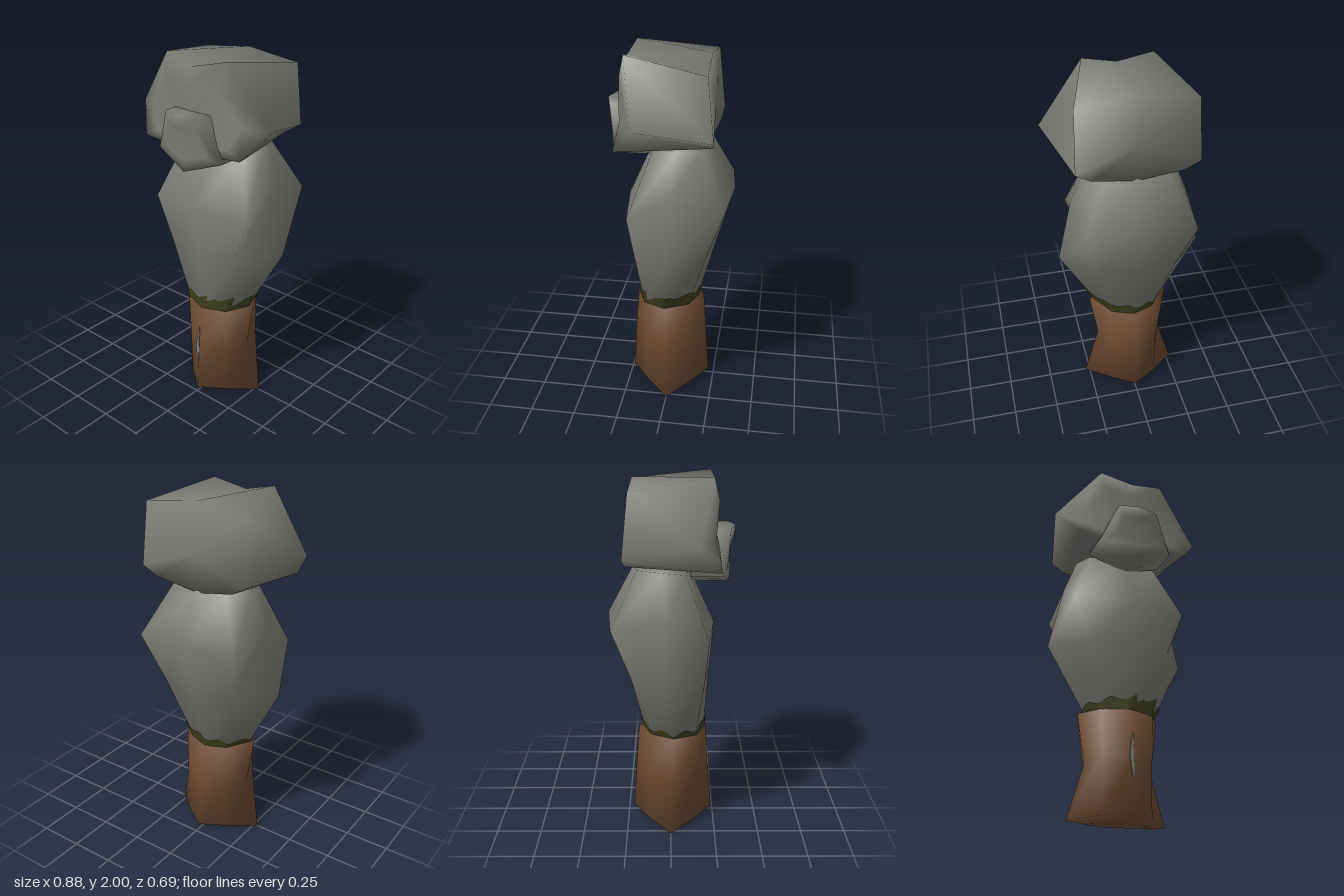
import * as THREE from 'three';

const stone = new THREE.MeshStandardMaterial({ color: 0x7a7a75 });
const wood = new THREE.MeshStandardMaterial({ color: 0x6b4a31 });
const moss = new THREE.MeshStandardMaterial({ color: 0x41421f, side: THREE.DoubleSide });
stone.name = 'stone';
wood.name = 'wood';
moss.name = 'moss';

// Complete a half ring (centre line, +x side, centre line) by mirroring it
const mirror = (half) => [
  ...half,
  ...half.slice(1, -1).reverse().map(([x, y, z]) => [-x, y, z]),
];

function smoothGeometry(pos, index) {
  const geo = new THREE.BufferGeometry();
  geo.setAttribute('position', new THREE.Float32BufferAttribute(pos, 3));
  geo.setIndex(index);
  geo.computeVertexNormals();
  return geo;
}

// Closed smooth skin through mirrored rings, with a fan at each end
function loft(halves) {
  const rings = halves.map(mirror);
  const n = rings[0].length;
  const pos = rings.flat(2);
  const index = [];
  for (let r = 0; r < rings.length - 1; r++) {
    for (let i = 0; i < n; i++) {
      const a = r * n + i, b = r * n + (i + 1) % n;
      index.push(a, b, b + n, a, b + n, a + n);
    }
  }
  [0, rings.length - 1].forEach((r) => {
    const c = pos.length / 3;
    for (let k = 0; k < 3; k++) pos.push(rings[r].reduce((s, p) => s + p[k], 0) / n);
    for (let i = 0; i < n; i++) {
      const a = r * n + i, b = r * n + (i + 1) % n;
      if (r === 0) index.push(c, b, a);
      else index.push(c, a, b);
    }
  });
  return smoothGeometry(pos, index);
}

// Half rings: front, front corner, side, back corner, back
const bodyRings = [
  [[0, 0.55, 0.19], [0.135, 0.55, 0.14], [0.19, 0.55, 0.02], [0.115, 0.55, -0.105], [0, 0.55, -0.15]],
  [[0, 0.94, 0.22], [0.225, 0.92, 0.185], [0.4, 0.94, -0.02], [0.215, 0.94, -0.22], [0, 0.94, -0.255]],
  [[0, 1.19, 0.24], [0.32, 1.17, 0.2], [0.32, 1.3, -0.02], [0.305, 1.23, -0.315], [0, 1.25, -0.345]],
  [[0, 1.5, 0.1], [0.2, 1.5, 0.08], [0.235, 1.52, -0.05], [0.17, 1.52, -0.18], [0, 1.52, -0.2]],
];

// Ragged band that hugs the foot of the body
function mossBand() {
  const low = mirror(bodyRings[0]), high = mirror(bodyRings[1]);
  const steps = 6, n = low.length * steps;
  const pos = [], index = [];
  const at = (i, y) => {
    const j = Math.floor(i / steps) % low.length, k = (j + 1) % low.length;
    const u = (i % steps) / steps, t = (y - 0.55) / 0.39;
    const mix = (d) => THREE.MathUtils.lerp(
      THREE.MathUtils.lerp(low[j][d], low[k][d], u),
      THREE.MathUtils.lerp(high[j][d], high[k][d], u), t);
    return [mix(0) * 1.03, y, mix(2) * 1.03];
  };
  for (let i = 0; i < n; i++) {
    const a = (i / n) * Math.PI * 2;
    const top = 0.622 + 0.028 * Math.cos(a - 1.4) + 0.014 * Math.sin(9 * a);
    const bottom = Math.sin(6 * a - 1) > 0.2 ? 0.53 : 0.555;
    pos.push(...at(i, bottom), ...at(i, top));
    const p = 2 * i, q = 2 * ((i + 1) % n);
    index.push(p, q, q + 1, p, q + 1, p + 1);
  }
  return smoothGeometry(pos, index);
}

export function createModel() {
  const group = new THREE.Group();
  const add = (name, geo, mat) => {
    const mesh = new THREE.Mesh(geo, mat);
    mesh.name = name;
    group.add(mesh);
  };

  // Wooden post, narrow at the waist and pointed at the foot
  add('post', loft([
    [[0, 0.02, 0.24], [0.14, 0.01, 0.13], [0.275, 0, 0], [0.14, 0.015, -0.12], [0, 0.03, -0.22]],
    [[0, 0.3, 0.222], [0.14, 0.3, 0.14], [0.187, 0.3, 0.01], [0.14, 0.3, -0.13], [0, 0.3, -0.203]],
    [[0, 0.555, 0.203], [0.147, 0.56, 0.142], [0.23, 0.565, 0.01], [0.145, 0.555, -0.125], [0, 0.55, -0.185]],
  ]), wood);

  // Narrow stone sliver along the front edge of the post
  const sliver = new THREE.Shape([
    [0, 0.18], [0, 0.43], [-0.012, 0.38], [-0.022, 0.3], [-0.012, 0.22],
  ].map(([x, y]) => new THREE.Vector2(x, y)));
  const sliverGeo = new THREE.ExtrudeGeometry(sliver, { depth: 0.008, bevelEnabled: false });
  const p = sliverGeo.attributes.position;
  for (let i = 0; i < p.count; i++) p.setZ(i, p.getZ(i) + 0.235 - p.getY(i) * 0.06);
  sliverGeo.computeVertexNormals();
  add('sliver', sliverGeo, stone);

  add('body', loft(bodyRings), stone);
  add('mossBand', mossBand(), moss);

  // Head: rings run from the front face to the back, with a notched crown
  add('head', loft([
    [[0, 1.86, 0.258], [0.17, 1.88, 0.25], [0.3, 1.69, 0.225], [0.24, 1.58, 0.258], [0, 1.54, 0.262]],
    [[0, 1.955, 0.24], [0.19, 2, 0.22], [0.44, 1.69, 0.145], [0.325, 1.54, 0.26], [0, 1.505, 0.25]],
    [[0, 1.98, -0.205], [0.31, 1.94, -0.215], [0.322, 1.605, -0.25], [0.24, 1.555, -0.24], [0, 1.5, -0.2]],
  ]), stone);

  // Blunt snout under the front of the head
  add('snout', loft([
    [[0, 1.66, 0.338], [0.09, 1.66, 0.316], [0.14, 1.53, 0.298], [0, 1.49, 0.323]],
    [[0, 1.73, 0.345], [0.115, 1.73, 0.315], [0.215, 1.5, 0.27], [0, 1.425, 0.318]],
    [[0, 1.73, 0.14], [0.115, 1.73, 0.14], [0.215, 1.5, 0.1], [0, 1.42, 0.12]],
  ]), stone);

  return group;
}
